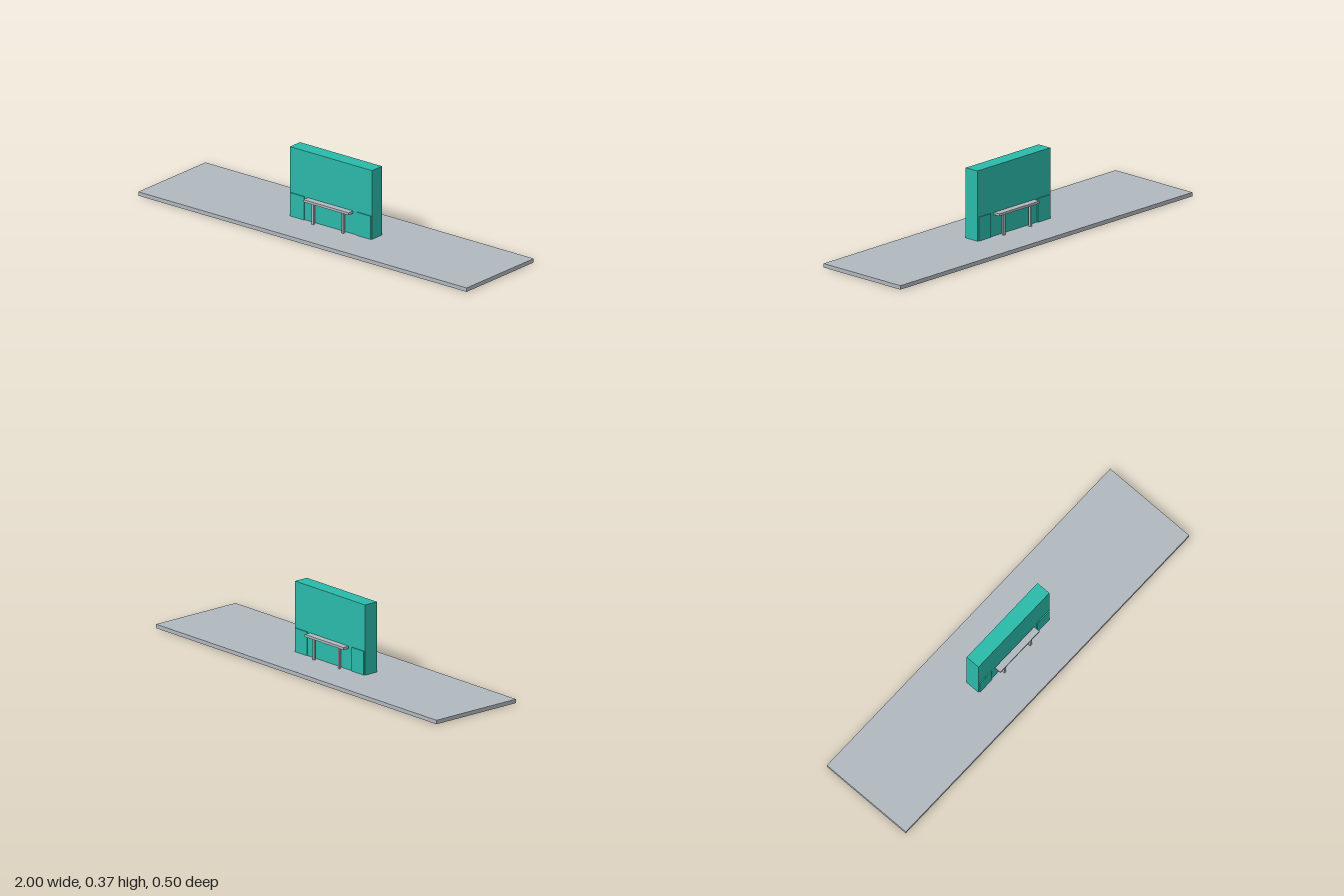
import * as THREE from 'three';

export function createModel() {
  const group = new THREE.Group();
  const grey = new THREE.MeshStandardMaterial({ color: 0xb0b7be });
  grey.name = 'concreteGrey';
  const teal = new THREE.MeshStandardMaterial({ color: 0x2ab9a9 });
  teal.name = 'teal';

  // Box given by its extents along each axis
  function box(name, material, [x0, x1], [y0, y1], [z0, z1], parent = group) {
    const mesh = new THREE.Mesh(new THREE.BoxGeometry(x1 - x0, y1 - y0, z1 - z0), material);
    mesh.position.set((x0 + x1) / 2, (y0 + y1) / 2, (z0 + z1) / 2);
    mesh.name = name;
    parent.add(mesh);
  }

  // Platform, with the foot of the wall showing through its underside
  box('platform', grey, [-1, 1], [0.0005, 0.02], [-0.25, 0.25]);
  box('wall', teal, [-0.25, 0.25], [0, 0.3675], [-0.0375, 0.0375]);

  // Both faces of the wall carry two low panels and a bench
  for (const side of [1, -1]) {
    const face = new THREE.Group();
    face.name = side > 0 ? 'frontFace' : 'backFace';
    face.rotation.y = side > 0 ? 0 : Math.PI;
    group.add(face);

    box('benchSeat', grey, [-0.138, 0.138], [0.126, 0.138], [0.0415, 0.075], face);
    for (const s of [1, -1]) {
      const cx = 0.2025 * s;
      box('lowPanel', teal, [cx - 0.0425, cx + 0.0425], [0.015, 0.1375], [0.035, 0.0425], face);
      const lx = 0.091 * s;
      box('benchLeg', grey, [lx - 0.0055, lx + 0.0055], [0.015, 0.126], [0.0525, 0.064], face);
    }
  }
  return group;
}
